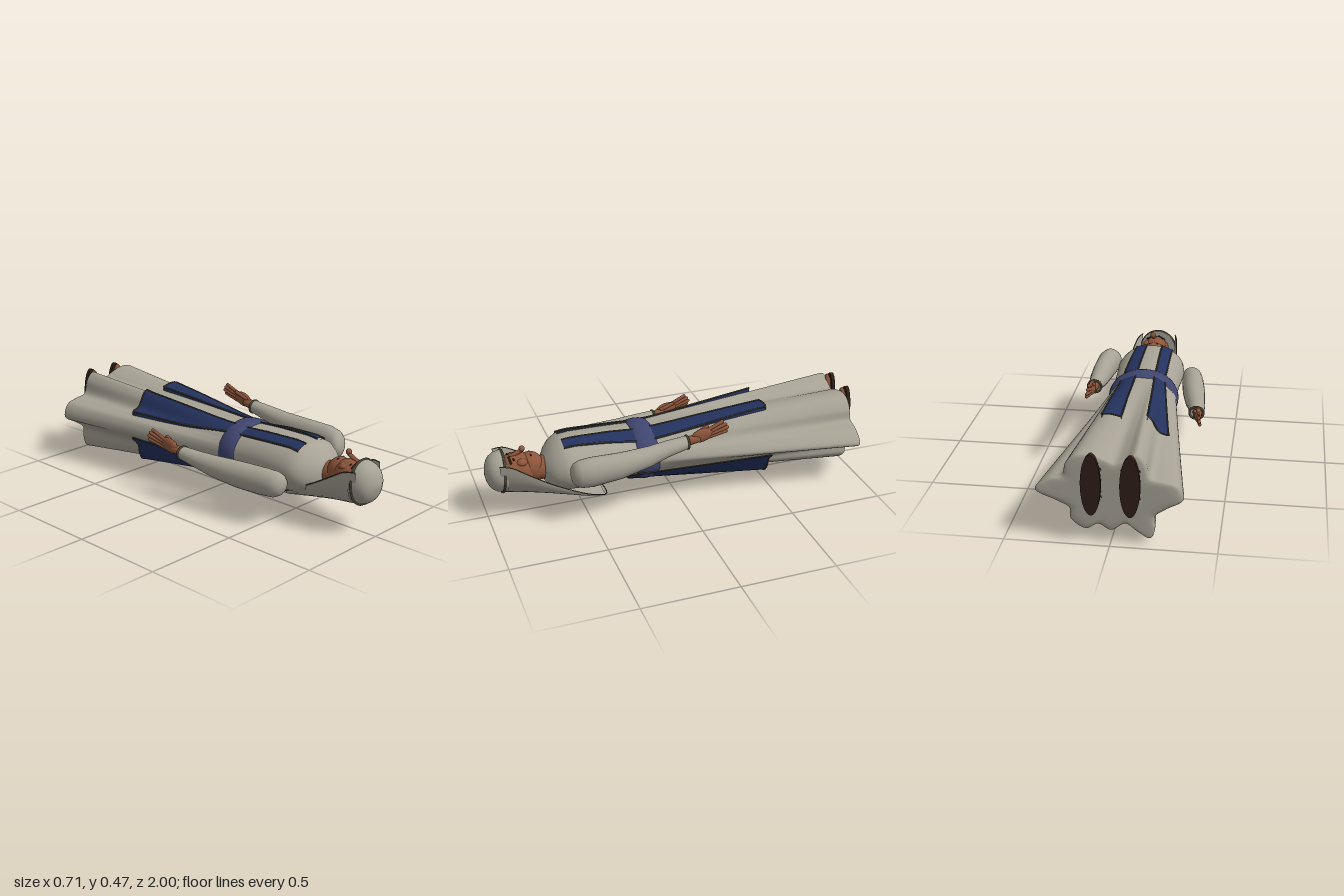
import * as THREE from 'three';

const mat = (color, side = THREE.FrontSide) => new THREE.MeshStandardMaterial({ color, side });
const CLOTH = mat(0xa8a396), SCARF = mat(0xa8a396, THREE.DoubleSide), BLUE = mat(0x24325e, THREE.DoubleSide);
const BELT = mat(0x40456f), TRIM = mat(0x4c4836), SKIN = mat(0x8d553b), DARK = mat(0x2e1f17);
const V = (x, y, z) => new THREE.Vector3(x, y, z);

export function createModel() {
  const root = new THREE.Group();
  const add = (name, geometry, material, parent = root) => {
    const m = new THREE.Mesh(geometry, material);
    m.name = name;
    parent.add(m);
    return m;
  };

  // Skin a list of rows of points; closed rows wrap round and get end caps
  function loft(rows, closed) {
    const n = rows[0].length, pos = [], idx = [];
    rows.forEach(r => r.forEach(p => pos.push(p.x, p.y, p.z)));
    for (let i = 0; i < rows.length - 1; i++)
      for (let j = 0; j < (closed ? n : n - 1); j++) {
        const a = i * n + j, b = i * n + (j + 1) % n;
        idx.push(a, b, b + n, a, b + n, a + n);
      }
    if (closed) [0, rows.length - 1].forEach(i => {
      const base = pos.length / 3, c = V(0, 0, 0);
      rows[i].forEach(p => { pos.push(p.x, p.y, p.z); c.addScaledVector(p, 1 / n); });
      pos.push(c.x, c.y, c.z);
      for (let j = 0; j < n; j++) {
        const a = base + j, b = base + (j + 1) % n;
        if (i) idx.push(a, b, base + n); else idx.push(b, a, base + n);
      }
    });
    const g = new THREE.BufferGeometry();
    g.setAttribute('position', new THREE.Float32BufferAttribute(pos, 3));
    g.setIndex(idx);
    g.computeVertexNormals();
    return g;
  }
  const ellipse = ([z, cx, cy, rx, ry], n = 28) => Array.from({ length: n }, (_, j) => {
    const a = j / n * Math.PI * 2;
    return V(cx + rx * Math.cos(a), cy + ry * Math.sin(a), z);
  });
  const ball = (name, x, y, z, sx, sy, sz, material, parent) => {
    const m = add(name, new THREE.SphereGeometry(1, 32, 24), material, parent);
    m.position.set(x, y, z);
    m.scale.set(sx, sy, sz);
    return m;
  };
  const limb = (name, p, q, r, material, parent) => {
    const m = add(name, new THREE.CapsuleGeometry(r, p.distanceTo(q), 5, 12), material, parent);
    m.position.copy(p).lerp(q, 0.5);
    m.quaternion.setFromUnitVectors(V(0, 1, 0), q.clone().sub(p).normalize());
    return m;
  };
  const piping = (name, pts, r = 0.004, closed = false) => add(name, new THREE.TubeGeometry(
    new THREE.CatmullRomCurve3(pts, closed, 'centripetal'), pts.length * 3, r, 6, closed), TRIM);

  // Robe: an oval body that widens into the folded hem outline
  const hem = new THREE.CatmullRomCurve3([
    [.355, .25], [.295, .31], [.225, .335], [.21, .39], [.165, .44], [.1, .45], [.03, .43], [-.02, .41],
    [-.07, .43], [-.12, .46], [-.16, .42], [-.185, .345], [-.25, .33], [-.31, .31], [-.335, .24], [-.26, .19],
    [-.205, .145], [-.205, .08], [-.185, .03], [-.13, .06], [-.07, .1], [0, .06], [.06, .09], [.12, .06],
    [.19, .11], [.195, .165], [.255, .2],
  ].map(([x, y]) => V(x, y, 0)), true).getPoints(162).slice(0, -1);
  const body = [[-.96, 0, .26, .17, .13], [.17, -.008, .257, .17, .13], [.35, 0, .26, .18, .137],
    [.54, 0, .26, .19, .14], [.6, 0, .258, .182, .136], [.64, 0, .252, .16, .118], [.67, .005, .245, .13, .095],
    [.695, .01, .24, .085, .065], [.7, .01, .24, .05, .045]];
  function robeRing(z) {
    let i = 0;
    while (i < body.length - 2 && z > body[i + 1][0]) i++;
    const t = (z - body[i][0]) / (body[i + 1][0] - body[i][0]);
    const [cx, cy, rx, ry] = [1, 2, 3, 4].map(k => THREE.MathUtils.lerp(body[i][k], body[i + 1][k], t));
    const k = THREE.MathUtils.clamp((.2 - z) / 1.14, 0, 1);
    return hem.map(p => {
      const a = Math.atan2((p.y - .25) / .2, p.x / .3);
      return V(cx + rx * Math.cos(a), cy + ry * Math.sin(a), z).lerp(V(p.x, p.y, z), k);
    });
  }
  const robeZ = [];
  for (let z = -.94; z < .53; z += .07) robeZ.push(z);
  robeZ.push(.54, .575, .6, .62, .64, .655, .67, .685, .695, .7);
  const hemRoll = [[.6, -.963], [.8, -.963], [.92, -.961], [.97, -.956], [.992, -.949]].map(([s, z]) =>
    hem.map(p => V(p.x * s, .25 + (p.y - .25) * s, z)));
  add('robe', loft([...hemRoll, ...robeZ.map(robeRing)], true), CLOTH);

  // Highest robe point above (x, z)
  function robeTop(x, z) {
    const ring = robeRing(z);
    let top = .25;
    ring.forEach((p, j) => {
      const q = ring[(j + 1) % ring.length];
      if ((p.x - x) * (q.x - x) <= 0 && p.x !== q.x)
        top = Math.max(top, p.y + (q.y - p.y) * (x - p.x) / (q.x - p.x));
    });
    return top;
  }

  // Two long front panels that stand off the robe, with turned-down sides and piping
  [['rightFrontPanel', -.115, -.055, -.12, -.065, -.215, -.11],
    ['leftFrontPanel', .03, .09, .035, .115, .02, .115]].forEach(([name, a0, b0, a1, b1, a2, b2]) => {
    const rows = [];
    for (let i = 0; i <= 22; i++) {
      const z = .6 - i * .05, s = z > .17 ? (.6 - z) / .43 : (.17 - z) / .67;
      const a = z > .17 ? a0 + (a1 - a0) * s : a1 + (a2 - a1) * s;
      const b = z > .17 ? b0 + (b1 - b0) * s : b1 + (b2 - b1) * s;
      const lift = .007 + .03 * Math.max(0, -z);
      const row = Array.from({ length: 9 }, (_, j) => {
        const x = a + (b - a) * j / 8;
        return V(x, robeTop(x, z) + lift, z);
      });
      const turnDown = p => V(p.x, p.y - lift * 1.4, z);
      rows.push([turnDown(row[0]), ...row, turnDown(row[8])]);
    }
    add(name, loft(rows, false), BLUE);
    piping(name + 'Trim', [...rows.map(r => r[1]), ...rows[22].slice(2, 9), ...rows.map(r => r[9]).reverse()]);
  });

  // Back panel flaring from under the belt to a scalloped edge
  const backEnd = [[-.222, .195], [-.18, .145], [-.172, .1], [-.15, .052], [-.07, .05], [0, .006], [.06, .05],
    [.12, .055], [.165, .105], [.178, .155], [.22, .2]].map(([x, y]) => V(x, y, -.5));
  const backRows = Array.from({ length: 15 }, (_, i) => backEnd.map((p, j) => {
    const a = (j / 10 - .5) * 2.3, side = Math.abs(j - 5) / 5;
    return V(.183 * Math.sin(a), .258 - .141 * Math.cos(a), .22 + .08 * side)
      .lerp(p, Math.pow(i / 14, 1.2));
  }));
  add('backPanel', loft(backRows, false), BLUE);
  piping('backPanelTrim', [...backRows.map(r => r[0]), ...backEnd.slice(1, -1), ...backRows.map(r => r[10]).reverse()]);

  // Belt: a bulging oval band
  add('belt', loft([[.11, 0], [.12, .012], [.145, .018], [.17, .02], [.195, .018], [.22, .012], [.23, 0]]
    .map(([z, e]) => ellipse([z, -.004, .254, .171 + e, .132 + e], 48)), true), BELT);

  // Sleeves, cuffs and hands
  const arms = {
    left: [[-.01, .235, .378, .036, .034], [.1, .238, .36, .043, .043], [.2, .245, .338, .05, .054],
      [.35, .25, .318, .055, .07], [.5, .245, .308, .06, .08], [.56, .238, .303, .058, .074],
      [.585, .23, .3, .05, .06], [.598, .225, .297, .034, .04], [.603, .222, .295, .01, .012]],
    right: [[-.01, -.31, .256, .038, .034], [.1, -.3, .243, .047, .044], [.2, -.285, .23, .055, .056],
      [.35, -.265, .222, .063, .068], [.5, -.245, .22, .061, .07], [.56, -.236, .22, .057, .067],
      [.585, -.228, .22, .048, .055], [.598, -.223, .22, .034, .038], [.603, -.22, .22, .01, .012]],
  };
  for (const [side, rows] of Object.entries(arms)) {
    add(side + 'Sleeve', loft(rows.map(r => ellipse(r)), true), CLOTH);
    piping(side + 'Cuff', ellipse(rows[0], 16), .006, true);
    const hand = new THREE.Group();
    hand.name = side + 'Hand';
    hand.position.set(rows[0][1], rows[0][2], 0);
    const dx = side === 'left' ? 0 : -.03, out = side === 'left' ? -1 : 1;
    limb('wrist', V(0, 0, .02), V(dx * .3, .012, -.06), .024, SKIN, hand);
    ball('palm', dx * .5, .025, -.09, .018, .037, .06, SKIN, hand).rotation.x = .25;
    for (let f = 0; f < 4; f++)
      limb('finger', V(dx * .6, .005 + f * .014, -.115),
        V(dx + out * (f - 1.5) * .003, .03 + f * .018, -.212 - .018 * Math.sin(f + .6)), .009, SKIN, hand);
    limb('thumb', V(dx * .4 + out * .008, .035, -.06), V(dx * .6 + out * .018, .06, -.125), .01, SKIN, hand);
    root.add(hand);
  }

  // Head and face
  limb('neck', V(.012, .25, .67), V(.015, .25, .78), .062, SKIN);
  ball('face', .012, .255, .835, .085, .1, .11, SKIN);
  ball('jaw', .014, .27, .765, .066, .078, .07, SKIN);
  limb('noseBridge', V(.018, .347, .86), V(.022, .37, .81), .011, SKIN);
  ball('noseTip', .024, .382, .803, .016, .016, .015, SKIN);
  limb('mouth', V(-.008, .343, .762), V(.038, .343, .762), .004, DARK);
  [-1, 1].forEach(s => {
    limb('eyebrow', V(.015 + s * .018, .349, .874), V(.015 + s * .052, .331, .871), .005, DARK);
    ball('eye', .015 + s * .034, .341, .853, .013, .006, .005, DARK);
    ball('cheek', .015 + s * .042, .322, .815, .026, .02, .03, SKIN);
  });

  // Headscarf: a round cap, a band, and cloth draped to a point down the back
  add('scarfCap', loft([[.895, 1], [.92, .985], [.945, .92], [.965, .81], [.98, .66], [.992, .42], [.999, .1]]
    .map(([z, s]) => ellipse([z, .003, .262, .102 * s, .112 * s], 40)), true), CLOTH);
  piping('headBand', ellipse([.912, .003, .262, .102, .112], 24).map(p => V(p.x, p.y, p.z - (p.y - .262) * .08)),
    .006, true);
  const drape = [[.935, .003, .34, .098, .15], [.88, .006, .335, .115, .142], [.8, .012, .29, .13, .135],
    [.7, .018, .232, .142, .122], [.6, .024, .18, .144, .106], [.5, .034, .126, .12, .084],
    [.44, .044, .1, .095, .073], [.39, .05, .08, .06, .066]]
    .map(([z, cx, edge, hw, bottom]) => Array.from({ length: 21 }, (_, j) => {
      const a = (j / 20 - .5) * Math.PI;
      return V(cx + hw * Math.sin(a), edge - (edge - bottom) * Math.cos(a), z);
    }));
  add('scarfDrape', loft(drape, false), SCARF);
  piping('scarfTrim', [...drape.map(r => r[0]), ...drape.map(r => r[20]).reverse()], .003);

  // Sandalled feet standing out of the hem
  [['right', -.095], ['left', .085]].forEach(([side, x]) => {
    const foot = new THREE.Group();
    foot.name = side + 'Foot';
    const sole = add('sole', new THREE.CylinderGeometry(1, 1, .02, 40).rotateX(Math.PI / 2), DARK, foot);
    sole.position.set(x, .312, -.99);
    sole.scale.set(.047, .153, 1);
    ball('foot', x, .315, -.965, .039, .147, .028, SKIN, foot);
    limb('ankle', V(x, .24, -.95), V(x, .25, -.86), .036, SKIN, foot);
    [.24, .38].forEach(y => {
      const strap = add('strap', new THREE.TorusGeometry(.04, .007, 8, 20, Math.PI).rotateX(Math.PI / 2), DARK, foot);
      strap.position.set(x, y, -.978);
    });
    root.add(foot);
  });
  return root;
}
